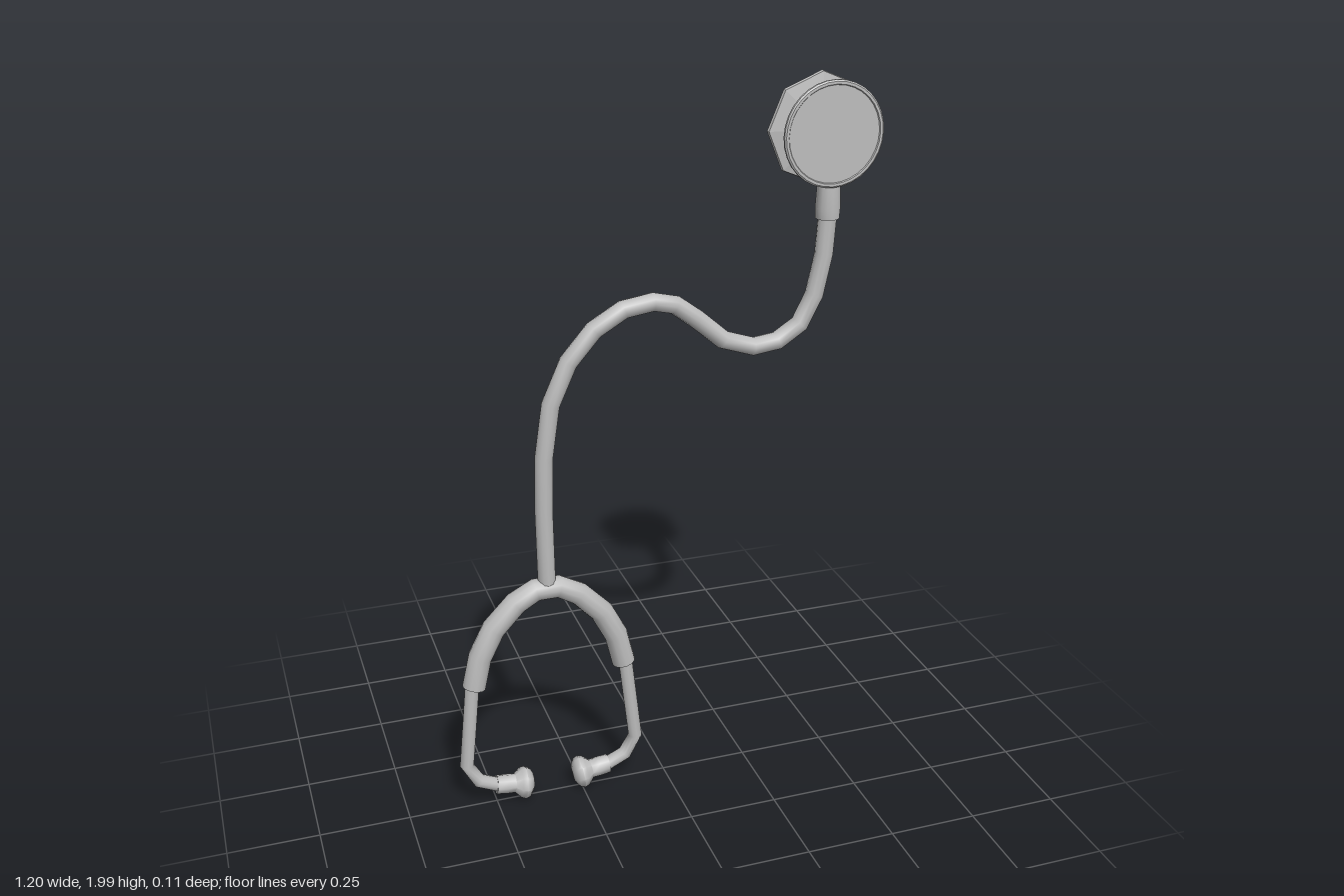
import * as THREE from 'three';
import { toCreasedNormals } from 'three/addons/utils/BufferGeometryUtils.js';

const gray = new THREE.MeshStandardMaterial({ color: 0xbcbcbc });
gray.name = 'satin gray';

function add(parent, name, geometry) {
  const mesh = new THREE.Mesh(geometry, gray);
  mesh.name = name;
  parent.add(mesh);
  return mesh;
}

// Capped round tube along straight segments in the XY plane; each point is [x, y, radius].
function planarTube(points, sides = 12) {
  const first = points[0], last = points[points.length - 1];
  const rings = points.map(([x, y, r], i) => {
    const a = points[Math.max(i - 1, 0)], b = points[Math.min(i + 1, points.length - 1)];
    const t = new THREE.Vector2(b[0] - a[0], b[1] - a[1]).normalize();
    return { x, y, r, nx: -t.y, ny: t.x };
  });
  const start = rings[0], end = rings[rings.length - 1];
  // repeated end rings keep the cap edges sharp
  const all = [{ ...start, r: 0 }, { ...start, r: first[2] }, ...rings, { ...end, r: last[2] }, { ...end, r: 0 }];
  const position = [], index = [];
  all.forEach((g, i) => {
    for (let j = 0; j < sides; j++) {
      const a = (j / sides) * Math.PI * 2, c = Math.cos(a) * g.r;
      position.push(g.x + g.nx * c, g.y + g.ny * c, Math.sin(a) * g.r);
      if (i < all.length - 1) {
        const p = i * sides + j, q = i * sides + (j + 1) % sides;
        index.push(p, q, p + sides, q, q + sides, p + sides);
      }
    }
  });
  const geometry = new THREE.BufferGeometry();
  geometry.setAttribute('position', new THREE.Float32BufferAttribute(position, 3));
  geometry.setIndex(index);
  geometry.computeVertexNormals();
  return geometry;
}

// Turned solid from [radius, height] pairs, listed bottom to top.
function turned(profile, sides, crease = 0.6) {
  const geometry = new THREE.LatheGeometry(profile.map(([r, h]) => new THREE.Vector2(r, h)), sides);
  return toCreasedNormals(geometry, crease);
}

export function createModel() {
  const model = new THREE.Group();
  model.name = 'stethoscope';
  const midZ = 0.006;

  // Main flexible tube
  const path = [
    [-0.335, 0.67], [-0.337, 0.9], [-0.333, 1.05], [-0.31, 1.2], [-0.26, 1.31], [-0.19, 1.39],
    [-0.11, 1.437], [-0.03, 1.449], [0.03, 1.435], [0.09, 1.39], [0.165, 1.325], [0.25, 1.297],
    [0.32, 1.306], [0.383, 1.347], [0.422, 1.425], [0.445, 1.535], [0.452, 1.65],
  ];
  add(model, 'mainTube', planarTube(path.map(([x, y]) => [x, y, 0.025]))).position.z = midZ;

  // Headset, symmetrical about the main tube
  const headset = new THREE.Group();
  headset.name = 'headset';
  headset.position.set(-0.335, 0, midZ);
  model.add(headset);

  const half = [[-0.215, 0.4, 0.033], [-0.194, 0.49, 0.033], [-0.153, 0.57, 0.033], [-0.088, 0.638, 0.032], [-0.032, 0.669, 0.031]];
  const otherHalf = half.map(([x, y, r]) => [-x, y, r]).reverse();
  add(headset, 'yoke', planarTube([...half, ...otherHalf]));

  for (const [side, s] of [['right', -1], ['left', 1]]) {
    const arm = [[0.217, 0.43], [0.247, 0.15], [0.215, 0.092], [0.15, 0.062]];
    add(headset, side + 'EarTube', planarTube(arm.map(([x, y]) => [s * x, y, 0.02])));

    const tip = add(headset, side + 'EarTip', turned([
      [0, 0], [0.027, 0], [0.028, 0.03], [0.027, 0.053], [0.043, 0.07],
      [0.047, 0.083], [0.042, 0.096], [0.026, 0.106], [0, 0.108],
    ], 8, 0.9));
    tip.position.set(s * 0.166, 0.066, -0.002);
    tip.rotation.z = s * (Math.PI / 2 + 0.13);
  }

  // Connector between tube and chest piece
  const connector = add(model, 'connector', turned([
    [0, 1.63], [0.032, 1.63], [0.034, 1.66], [0.03, 1.735], [0.022, 1.738], [0.018, 1.82], [0, 1.82],
  ], 14));
  connector.position.set(0.451, 0, midZ);

  // Chest piece, turned about the z axis
  const chest = new THREE.Group();
  chest.name = 'chestPiece';
  chest.position.set(0.446, 1.855, 0);
  chest.rotation.x = Math.PI / 2;
  model.add(chest);

  add(chest, 'hub', turned([[0.055, -0.03], [0.053, 0], [0.055, 0.035]], 20));
  add(chest, 'diaphragm', turned([
    [0, 0.031], [0.133, 0.031], [0.138, 0.034], [0.138, 0.041], [0.134, 0.044],
    [0.127, 0.044], [0.125, 0.041], [0, 0.041],
  ], 32));
  add(chest, 'bell', turned([
    [0, -0.036], [0.055, -0.042], [0.138, -0.057], [0.144, -0.058], [0.148, -0.052],
    [0.146, -0.042], [0.1, -0.035], [0.075, -0.027], [0, -0.027],
  ], 8, 0.1));

  return model;
}
